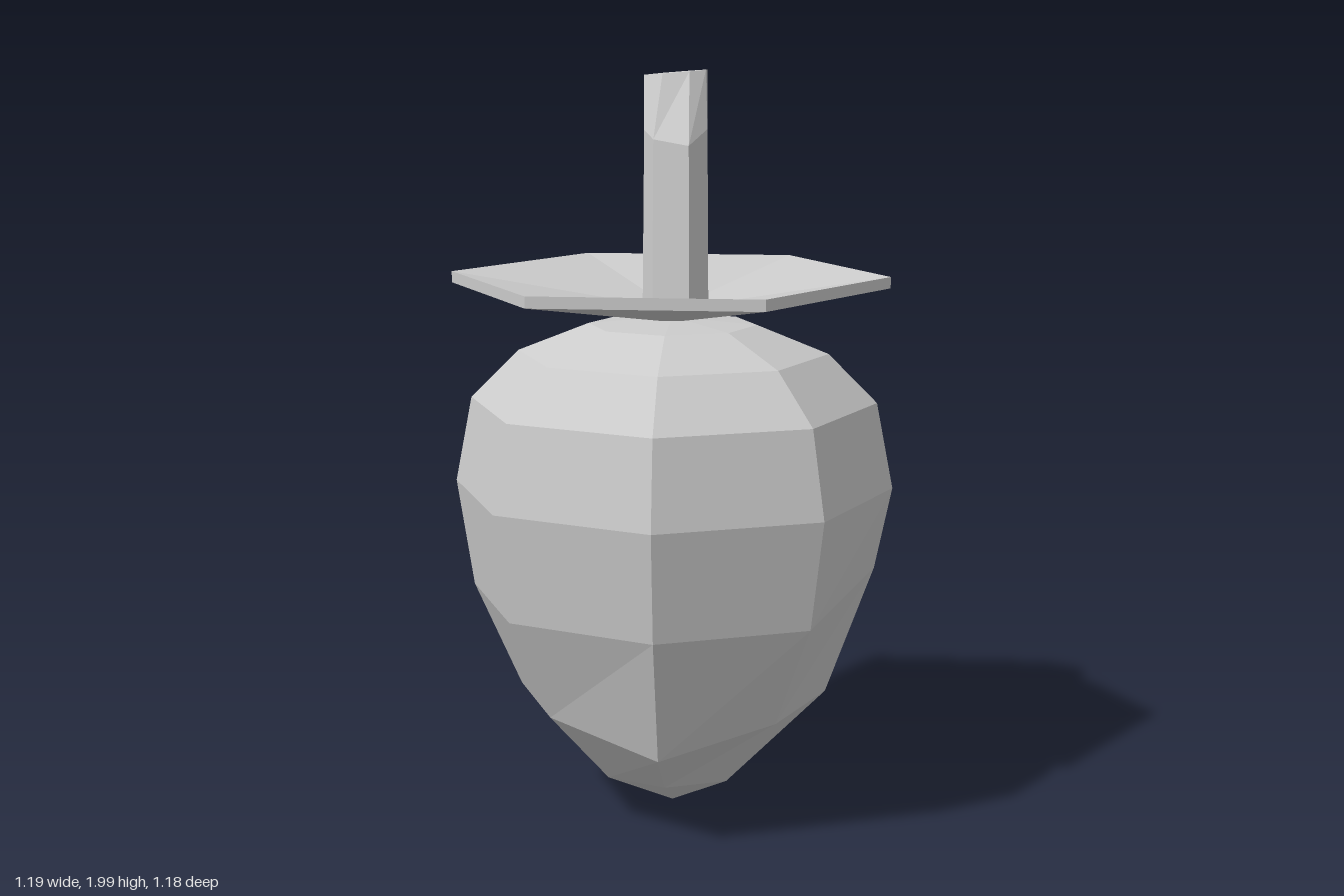
import * as THREE from 'three';

// Skins a stack of rings (bottom to top, each running from +x towards +z) with flat facets.
function loft(name, rings) {
  const pos = [];
  const tri = (a, b, c) => {
    if (a.equals(b) || b.equals(c) || a.equals(c)) return;
    for (const p of [a, b, c]) pos.push(p.x, p.y, p.z);
  };
  for (let i = 0; i + 1 < rings.length; i++) {
    const lo = rings[i], hi = rings[i + 1], n = lo.length;
    for (let j = 0; j < n; j++) {
      const k = (j + 1) % n;
      tri(lo[j], hi[j], lo[k]);
      tri(hi[j], hi[k], lo[k]);
    }
  }
  const geo = new THREE.BufferGeometry();
  geo.setAttribute('position', new THREE.Float32BufferAttribute(pos, 3));
  geo.computeVertexNormals();
  const mesh = new THREE.Mesh(geo, new THREE.MeshStandardMaterial({ color: 0xcccccc, flatShading: true }));
  mesh.name = name;
  return mesh;
}

const V = (x, y, z) => new THREE.Vector3(x, y, z);
const point = (n, x, y, z) => Array.from({ length: n }, () => V(x, y, z));

// Eight-sided nut; the lower rings have slightly uneven heights.
function makeNut() {
  const sides = 8;
  const ring = (r, y) => Array.from({ length: sides }, (_, j) => {
    const a = (j / sides) * Math.PI * 2;
    return V(r * Math.cos(a), Array.isArray(y) ? y[j] : y, r * Math.sin(a));
  });
  return loft('nut', [
    point(sides, 0, 0.005, 0),
    ring(0.225, [0.14, 0.12, 0.12, 0.12, 0.12, 0.12, 0.12, 0.12]),
    ring(0.418, [0.33, 0.33, 0.26, 0.33, 0.33, 0.33, 0.42, 0.42]),
    ring(0.545, [0.68, 0.61, 0.61, 0.61, 0.61, 0.61, 0.68, 0.68]),
    ring(0.59, 0.9),
    ring(0.545, 1.13),
    ring(0.415, 1.26),
    ring(0.225, 1.335),
    point(sides, 0, 1.355, 0),
  ]);
}

// Six-cornered dished cap with a thin rim.
function makeCap() {
  const corners = [[0.575, -0.01], [0.27, 0.49], [-0.32, 0.48], [-0.6, -0.04], [-0.295, -0.54], [0.29, -0.53]];
  const rim = (y) => corners.map(([x, z]) => V(x, y, z));
  return loft('cap', [point(6, 0, 1.34, 0), rim(1.435), rim(1.465), point(6, 0, 1.375, 0)]);
}

// Seven-sided stem, straight and then bent to the back.
function makeStem() {
  const base = [[0.095, -0.005], [0.05, 0.075], [-0.05, 0.045], [-0.08, 0], [-0.06, -0.055], [0, -0.075], [0.07, -0.06]];
  const tip = [[0.08, -0.09], [0.04, -0.05], [-0.03, -0.04], [-0.085, -0.1], [-0.045, -0.18], [0.025, -0.185], [0.08, -0.14]];
  return loft('stem', [
    base.map(([x, z]) => V(x, 1.36, z)),
    base.map(([x, z]) => V(x * 0.95, 1.845 - z * 0.5, z - 0.013)),
    tip.map(([x, z]) => V(x, 1.992 + x * 0.08, z)),
    point(7, 0, 1.985, -0.115),
  ]);
}

export function createModel() {
  const group = new THREE.Group();
  group.name = 'acorn';
  group.add(makeNut(), makeCap(), makeStem());
  return group;
}
